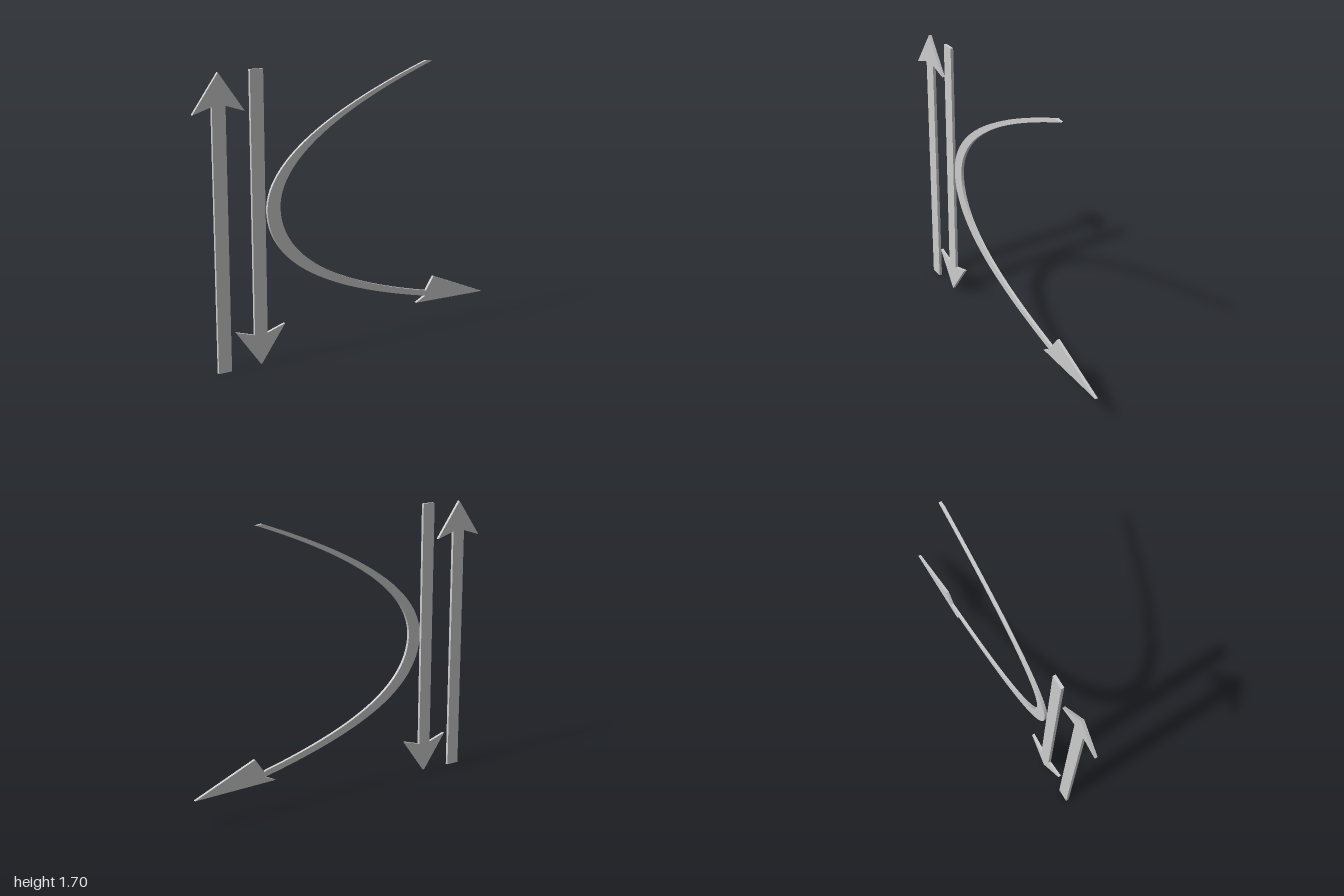
import * as THREE from 'three';

const DEPTH = 0.018;
const material = new THREE.MeshStandardMaterial({ color: 0xcccccc });

// Flat plate cut from an outline, centred on depth z
function plate(name, points, z) {
  const shape = new THREE.Shape(points.map(([x, y]) => new THREE.Vector2(x, y)));
  const geometry = new THREE.ExtrudeGeometry(shape, { depth: DEPTH, bevelEnabled: false });
  geometry.translate(0, 0, z - DEPTH / 2);
  const mesh = new THREE.Mesh(geometry, material);
  mesh.name = name;
  return mesh;
}

// Straight arrow outline along y; dir is +1 for up, -1 for down
function straightArrow(name, x, tail, dir, z) {
  const half = 0.041, wing = 0.157, length = 1.695;
  const y = (d) => tail + dir * d;
  return plate(name, [
    [x - half, y(0)], [x + half, y(0)],
    [x + half, y(length - 0.182)], [x + wing, y(length - 0.218)],
    [x, y(length)],
    [x - wing, y(length - 0.218)], [x - half, y(length - 0.182)],
  ], z);
}

// Edge of the bent shaft: a parabola that tightens toward the lower end
function bentEdge(vertexX, vertexY, yTop, yBottom, base, growth) {
  const points = [], n = 64;
  for (let i = 0; i <= n; i++) {
    const y = yTop + (yBottom - yTop) * i / n;
    const d = y - vertexY;
    const a = d > 0 ? 1.79 : base + growth * d * d;
    points.push([vertexX + a * d * d, y]);
  }
  return points;
}

export function createModel() {
  const group = new THREE.Group();
  group.name = 'arrows';

  // Two vertical arrows
  group.add(straightArrow('upArrow', -0.843, 0, 1, 0));
  group.add(straightArrow('downArrow', -0.611, 1.7, -1, 0.002));

  // Curved arrow: outer edge, barbed head, then inner edge back to the tail
  const outer = bentEdge(-0.556, 0.9, 1.682, 0.216, 1.41, 2.03);
  const inner = bentEdge(-0.473, 0.91, 1.676, 0.249, 1.5, 1.95).reverse();
  const head = [[0.479, 0.182], [1, 0.171], [0.612, 0.334]];
  const curved = plate('curvedArrow', [...outer, ...head, ...inner], 0);

  // Slight backward lean of the curved arrow
  const position = curved.geometry.attributes.position;
  for (let i = 0; i < position.count; i++) {
    position.setZ(i, position.getZ(i) - 0.0045 * (position.getY(i) - 0.9));
  }
  curved.geometry.computeVertexNormals();
  group.add(curved);

  return group;
}
